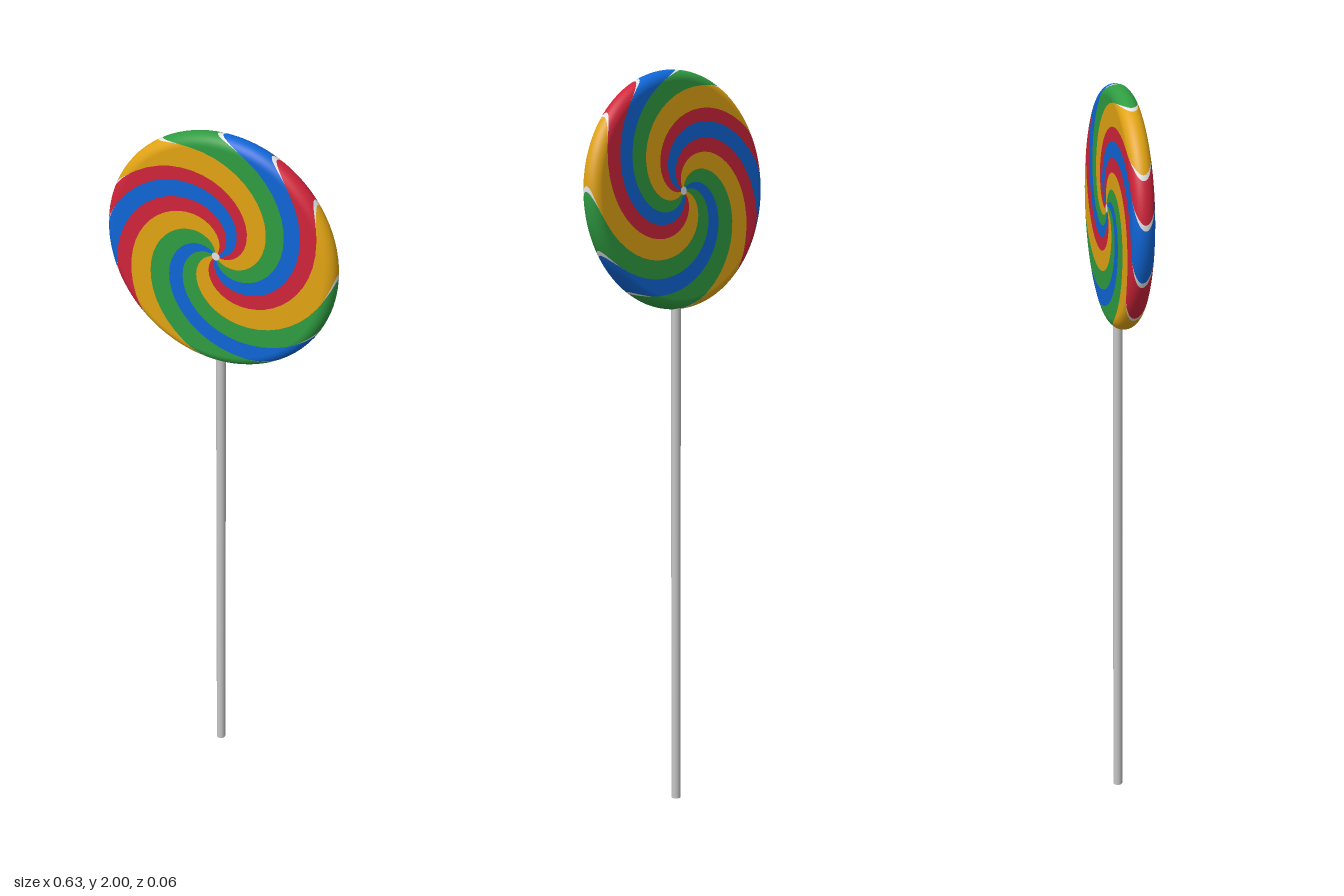
import * as THREE from 'three';

const R = 0.314, T = 0.029, CENTRE_Y = 2 - R;
const TWIST = Math.PI; // turn of the swirl between rim and centre
const rad = THREE.MathUtils.degToRad;

const flat = (name, color) => {
  const m = new THREE.MeshStandardMaterial({ color });
  m.name = name;
  return m;
};

// Half outline of the candy from front centre, round the rim, to back centre:
// [radius, z, radial normal, z normal]
function candyProfile() {
  const pts = [], inner = R - T, N = 24, ARC = 16;
  for (let i = 0; i < N; i++) pts.push([inner * i / N, T, 0, 1]);
  for (let i = 0; i <= ARC; i++) {
    const a = Math.PI * (0.5 - i / ARC);
    pts.push([inner + T * Math.cos(a), T * Math.sin(a), Math.cos(a), Math.sin(a)]);
  }
  for (let i = N - 1; i >= 0; i--) pts.push([inner * i / N, -T, 0, -1]);
  return pts;
}

// Swirled band between two rim angles, each given as a function of radius
function bandGeometry(profile, from, to, steps) {
  const position = [], normal = [], index = [];
  profile.forEach(([r, z, nr, nz], v) => {
    for (let u = 0; u <= steps; u++) {
      const a = THREE.MathUtils.lerp(from(r), to(r), u / steps) - TWIST * (1 - r / R);
      position.push(r * Math.cos(a), r * Math.sin(a), z);
      normal.push(nr * Math.cos(a), nr * Math.sin(a), nz);
      if (v < profile.length - 1 && u < steps) {
        const p = v * (steps + 1) + u, q = p + steps + 1;
        index.push(p, q, p + 1, q, q + 1, p + 1);
      }
    }
  });
  const g = new THREE.BufferGeometry();
  g.setAttribute('position', new THREE.Float32BufferAttribute(position, 3));
  g.setAttribute('normal', new THREE.Float32BufferAttribute(normal, 3));
  g.setIndex(index);
  return g;
}

export function createModel() {
  const model = new THREE.Group();
  model.name = 'lollipop';

  const yellow = flat('yellow sugar', 0xe2a413);
  const red = flat('red sugar', 0xd0233a);
  const blue = flat('blue sugar', 0x0f66d6);
  const green = flat('green sugar', 0x2f9c41);
  const white = flat('white sugar', 0xe4e4e4);
  const paper = flat('stick paper', 0xc6c6c6);

  // Swirl bands, counter-clockwise, with the rim angle where each begins
  const bands = [
    [yellow, 1], [red, 37.5], [blue, 63.5], [green, 90],
    [yellow, 121], [red, 157], [blue, 179], [red, 207],
    [yellow, 233], [green, 268], [blue, 303], [green, 330],
  ];
  const candy = new THREE.Group();
  candy.name = 'candy';
  candy.position.y = CENTRE_Y;
  const profile = candyProfile();

  // White seams open up only near the rim
  const seam = r => rad(1.3) * THREE.MathUtils.smoothstep(r / R, 0.93, 1);
  bands.forEach(([material, start], i) => {
    const end = i + 1 < bands.length ? bands[i + 1][1] : bands[0][1] + 360;
    const band = new THREE.Mesh(
      bandGeometry(profile, r => rad(start) + seam(r), r => rad(end) - seam(r), 8), material);
    band.name = 'swirlBand';
    const line = new THREE.Mesh(
      bandGeometry(profile.filter(p => p[0] > R * 0.9),
        r => rad(start) - seam(r), r => rad(start) + seam(r), 1), white);
    line.name = 'rimSeam';
    candy.add(band, line);
  });

  // Small pale spot in the middle of both faces
  for (const side of [1, -1]) {
    const spot = new THREE.Mesh(new THREE.CircleGeometry(0.011, 16), white);
    spot.name = 'centreSpot';
    spot.position.z = side * (T + 0.0008);
    if (side < 0) spot.rotation.y = Math.PI;
    candy.add(spot);
  }
  model.add(candy);

  // Stick, with its top end inside the candy
  const length = CENTRE_Y - R + 0.06;
  const stick = new THREE.Mesh(new THREE.CylinderGeometry(0.013, 0.013, length, 24), paper);
  stick.name = 'stick';
  stick.position.y = length / 2;
  model.add(stick);

  return model;
}
